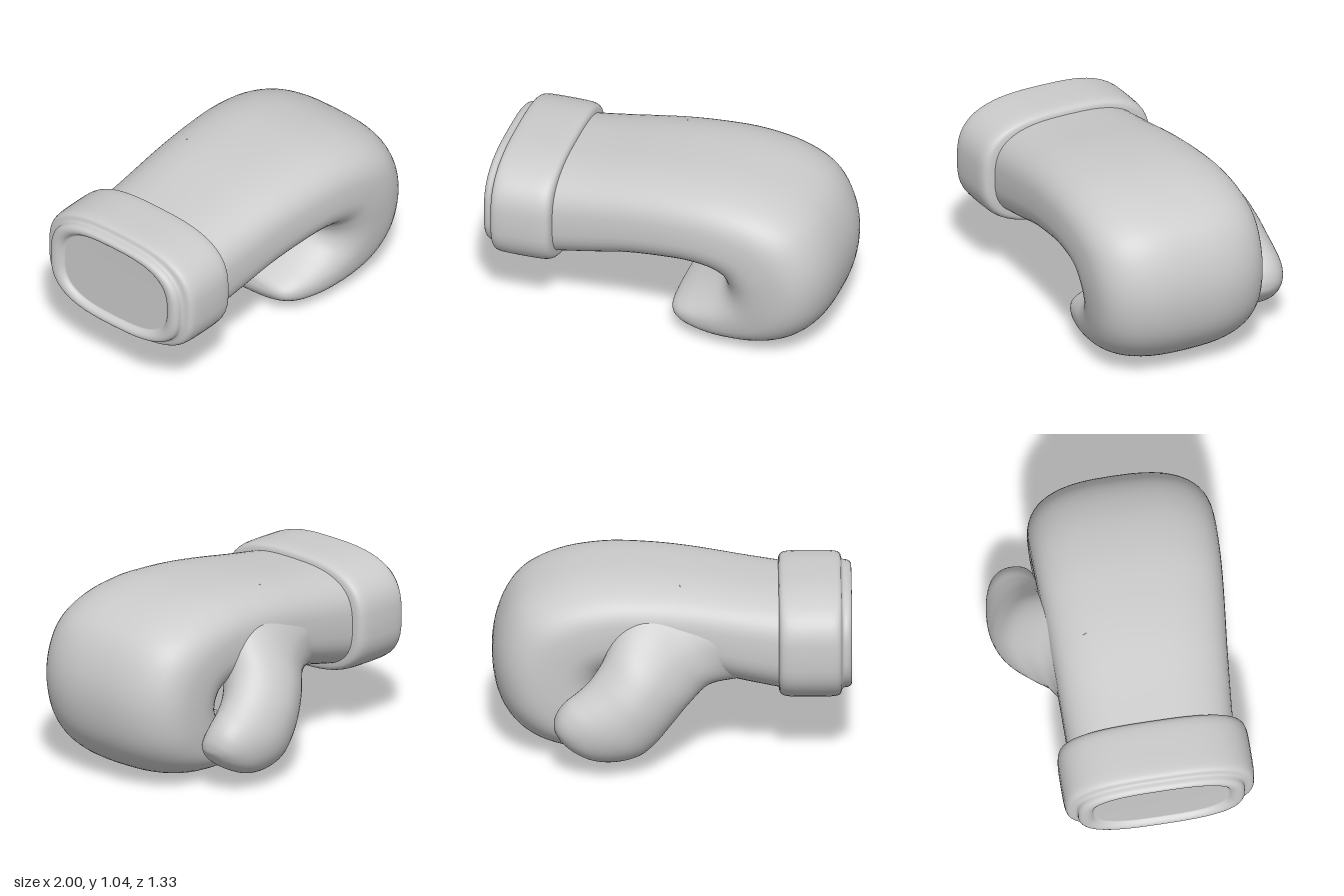
import * as THREE from 'three';

const material = new THREE.MeshStandardMaterial({ color: 0xcccccc, side: THREE.DoubleSide });

// Smooth loft through sections [upperX, upperY, lowerX, lowerY, zMin, zMax]; each
// cross-section is a superellipse whose exponent runs from expStart to expEnd.
function loft(name, sections, expStart, expEnd, steps, around = 56) {
  const curve = (f) => new THREE.CatmullRomCurve3(sections.map(f), false, 'catmullrom', 0.5);
  const upper = curve((s) => new THREE.Vector3(s[0], s[1], 0));
  const lower = curve((s) => new THREE.Vector3(s[2], s[3], 0));
  const depth = curve((s) => new THREE.Vector3(s[4], s[5], 0));
  const rings = (sections.length - 1) * steps;
  const pos = [], index = [], centres = [];

  for (let i = 0; i <= rings; i++) {
    const t = i / rings;
    const u = upper.getPoint(t), l = lower.getPoint(t), d = depth.getPoint(t);
    const c = u.clone().add(l).multiplyScalar(0.5);
    const h = u.clone().sub(l).multiplyScalar(0.5);
    const zc = (d.x + d.y) / 2, zh = (d.y - d.x) / 2;
    const exponent = THREE.MathUtils.lerp(expStart, expEnd, t * t);
    const round = (v) => Math.sign(v) * Math.abs(v) ** (2 / exponent);
    centres.push([c.x, c.y, zc]);
    for (let j = 0; j < around; j++) {
      const a = (j / around) * Math.PI * 2;
      const k = round(Math.cos(a));
      pos.push(c.x + h.x * k, c.y + h.y * k, zc + zh * round(Math.sin(a)));
    }
  }
  for (let i = 0; i < rings; i++) {
    for (let j = 0; j < around; j++) {
      const a = i * around + j, b = i * around + ((j + 1) % around);
      index.push(a, b, a + around, b, b + around, a + around);
    }
  }
  // Caps at both ends
  const start = pos.length / 3, last = rings * around;
  pos.push(...centres[0], ...centres[rings]);
  for (let j = 0; j < around; j++) {
    const k = (j + 1) % around;
    index.push(start, k, j, start + 1, last + j, last + k);
  }
  const geometry = new THREE.BufferGeometry();
  geometry.setAttribute('position', new THREE.Float32BufferAttribute(pos, 3));
  geometry.setIndex(index);
  geometry.computeVertexNormals();
  const mesh = new THREE.Mesh(geometry, material);
  mesh.name = name;
  return mesh;
}

export function createModel() {
  const group = new THREE.Group();
  group.name = 'paddedGlove';

  // Hand: wrist, back of the hand, knuckles and the fingers curled under
  group.add(loft('hand', [
    [-0.65, 0.935, -0.65, 0.35, -0.36, 0.57],
    [-0.40, 0.97, -0.40, 0.405, -0.363, 0.588],
    [-0.10, 1.015, -0.18, 0.46, -0.368, 0.61],
    [0.15, 1.035, 0.03, 0.492, -0.374, 0.633],
    [0.40, 1.033, 0.17, 0.505, -0.38, 0.65],
    [0.65, 0.985, 0.27, 0.497, -0.384, 0.66],
    [0.85, 0.88, 0.325, 0.475, -0.385, 0.662],
    [0.96, 0.71, 0.346, 0.447, -0.383, 0.658],
    [1.00, 0.50, 0.35, 0.422, -0.38, 0.646],
    [0.96, 0.28, 0.34, 0.398, -0.374, 0.628],
    [0.84, 0.12, 0.313, 0.37, -0.362, 0.605],
    [0.65, 0.03, 0.265, 0.338, -0.345, 0.578],
    [0.40, 0.002, 0.20, 0.30, -0.32, 0.545],
    [0.20, 0.02, 0.135, 0.265, -0.285, 0.505],
    [0.09, 0.06, 0.08, 0.23, -0.235, 0.455],
    [0.05, 0.105, 0.052, 0.20, -0.165, 0.385],
    [0.04, 0.14, 0.042, 0.165, -0.05, 0.27],
  ], 2.85, 2.1, 5));

  // Thumb: swells gently out of the back side, then points down and forward
  group.add(loft('thumb', [
    [-0.04, 1.00, -0.52, 0.46, -0.355, 0.05],
    [0.11, 0.96, -0.36, 0.45, -0.395, 0.02],
    [0.23, 0.88, -0.21, 0.445, -0.485, -0.03],
    [0.32, 0.76, -0.10, 0.37, -0.585, -0.10],
    [0.39, 0.63, 0.00, 0.27, -0.64, -0.18],
    [0.455, 0.54, 0.09, 0.175, -0.66, -0.25],
    [0.525, 0.475, 0.18, 0.11, -0.665, -0.29],
    [0.59, 0.425, 0.30, 0.08, -0.655, -0.32],
    [0.635, 0.37, 0.42, 0.083, -0.63, -0.34],
    [0.657, 0.315, 0.52, 0.12, -0.59, -0.36],
    [0.66, 0.275, 0.595, 0.17, -0.54, -0.39],
    [0.657, 0.25, 0.64, 0.22, -0.49, -0.43],
  ], 1.75, 2.5, 5, 48));

  // Cuff: profile of [x, offset] around the wrist, from recessed opening to hand
  const cuff = [
    [-0.968, -0.062], [-0.972, -0.055], [-0.99, -0.045], [-1, -0.03], [-0.998, -0.012],
    [-0.98, 0], [-0.955, 0.003], [-0.945, 0.013], [-0.938, 0.03], [-0.915, 0.041],
    [-0.85, 0.045], [-0.70, 0.045], [-0.635, 0.041], [-0.605, 0.03], [-0.595, 0.01], [-0.592, -0.02],
  ];
  group.add(loft('cuff', cuff.map(([x, o]) => [
    x, 0.94 + o, x, 0.36 - o, -0.36 - o * 1.55, 0.575 + o * 1.55,
  ]), 2.85, 2.85, 3));

  return group;
}
